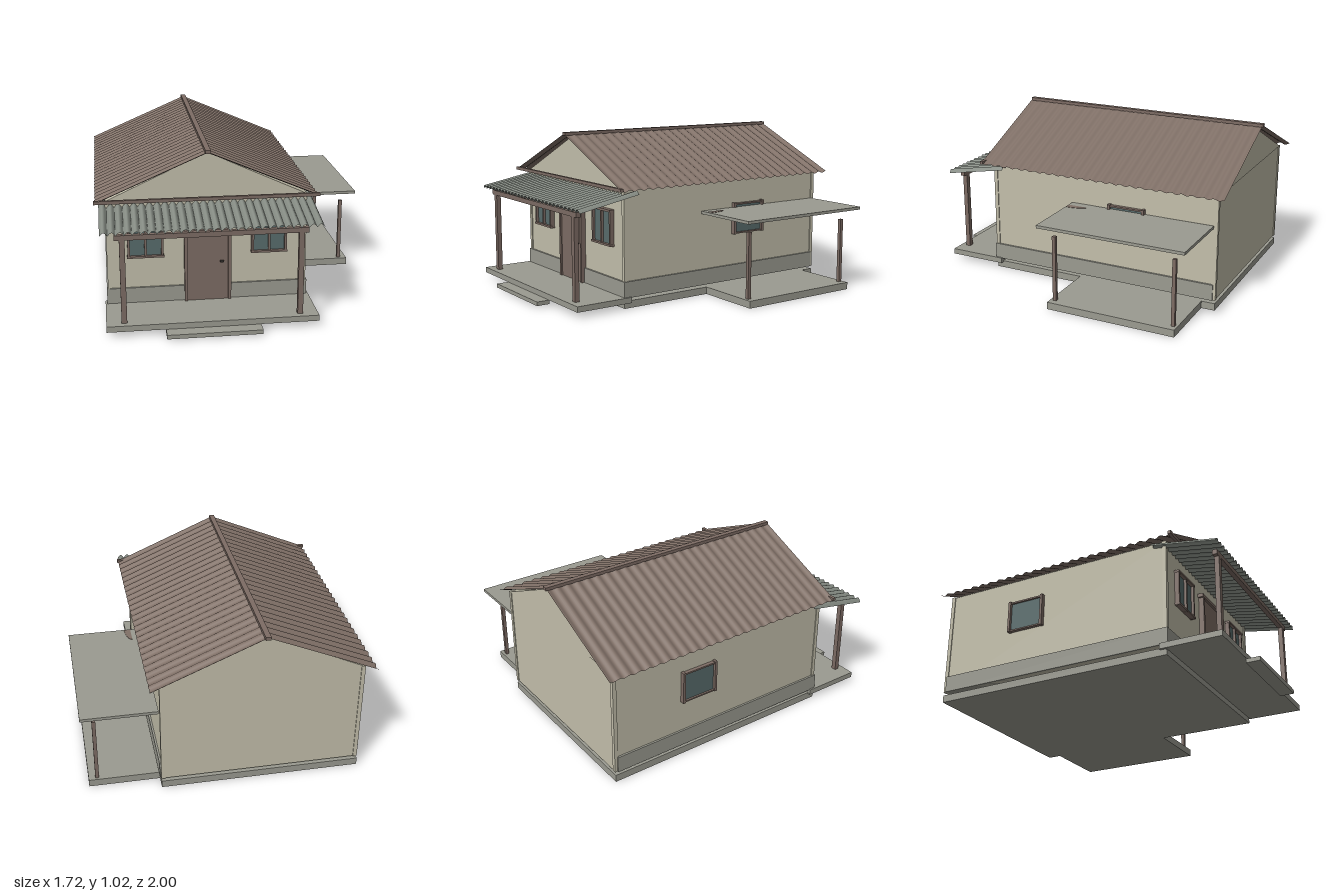
import * as THREE from 'three';

const material = (name, color, doubleSided = false) => {
  const m = new THREE.MeshStandardMaterial({ color });
  m.name = name;
  if (doubleSided) m.side = THREE.DoubleSide;
  return m;
};

export function createModel() {
  const house = new THREE.Group();
  house.name = 'house';
  const plaster = material('cream plaster', 0xc3bfab);
  const concrete = material('grey concrete', 0x9b9b91);
  const wood = material('brown wood', 0x7d6c64);
  const roofing = material('brown roofing', 0x807067, true);
  const tin = material('grey tin', 0x868c84, true);
  const glass = material('blue glass', 0x586c6c);
  const metal = material('dark metal', 0x3c3835);
  const cx = -0.195; // centre line of the house

  const add = (name, geometry, mat) => {
    const mesh = new THREE.Mesh(geometry, mat);
    mesh.name = name;
    house.add(mesh);
    return mesh;
  };
  // Box given by its limits on each axis
  const box = (name, mat, x0, x1, y0, y1, z0, z1) => {
    const g = new THREE.BoxGeometry(x1 - x0, y1 - y0, z1 - z0);
    g.translate((x0 + x1) / 2, (y0 + y1) / 2, (z0 + z1) / 2);
    return add(name, g, mat);
  };
  // Corrugated sheet: waves repeat along U, ridges run along V
  const sheet = (name, mat, origin, U, V, waves, height) => {
    const g = new THREE.PlaneGeometry(1, 1, waves * 8, 1);
    const o = new THREE.Vector3(...origin), u = new THREE.Vector3(...U), v = new THREE.Vector3(...V);
    const n = u.clone().cross(v).normalize();
    const p = g.attributes.position, q = new THREE.Vector3();
    for (let i = 0; i < p.count; i++) {
      const s = p.getX(i) + 0.5, t = p.getY(i) + 0.5;
      q.copy(o).addScaledVector(u, s).addScaledVector(v, t).addScaledVector(n, height(s * waves));
      p.setXYZ(i, q.x, q.y, q.z);
    }
    g.computeVertexNormals();
    return add(name, g, mat);
  };

  // Slabs and step
  box('houseSlab', concrete, -0.8, 0.405, 0, 0.045, -0.935, 0.585);
  box('carportSlab', concrete, 0.405, 0.83, 0, 0.045, -0.85, -0.03);
  box('porchSlab', concrete, -0.815, 0.425, 0.035, 0.07, 0.545, 0.92);
  box('step', concrete, -0.475, 0.08, 0.01, 0.035, 0.915, 1.0);

  // Walls, corner columns and plinth
  box('walls', plaster, -0.792, 0.402, 0.065, 0.72, -0.932, 0.58);
  for (const x of [-0.797, 0.383])
    for (const z of [-0.937, 0.563])
      box('cornerColumn', plaster, x, x + 0.024, 0.065, 0.72, z, z + 0.024);
  box('plinth', concrete, -0.804, 0.414, 0.065, 0.165, -0.92, 0.592);

  // Gable prism
  const tri = new THREE.Shape();
  tri.moveTo(-0.6, 0.715);
  tri.lineTo(0.6, 0.715);
  tri.lineTo(0, 0.99);
  tri.closePath();
  const gable = new THREE.ExtrudeGeometry(tri, { depth: 1.52, bevelEnabled: false });
  gable.translate(cx, 0, -0.935);
  add('gable', gable, plaster);

  // Main roof, ridge cap and front tie beam
  const ripple = (s) => 0.006 * Math.cos(s * Math.PI * 2);
  for (const side of [1, -1])
    sheet('roofSlope', roofing, [cx, 1.0, side > 0 ? -0.99 : 0.645],
      [0, 0, side * 1.635], [side * 0.66, -0.283, 0], 25, ripple);
  box('ridgeCap', wood, cx - 0.016, cx + 0.016, 0.996, 1.016, -0.997, 0.645);
  box('tieBeam', wood, -0.863, 0.472, 0.715, 0.735, 0.63, 0.65);

  // Porch roof, beam and posts
  sheet('porchRoof', tin, [-0.835, 0.612, 0.908], [1.28, 0, 0], [0, 0.075, -0.405], 28,
    (s) => 0.022 * Math.abs(Math.sin(s * Math.PI)));
  box('porchBeam', wood, -0.755, 0.36, 0.575, 0.605, 0.853, 0.882);
  for (const x of [-0.727, 0.302])
    box('porchPost', wood, x, x + 0.032, 0.07, 0.58, 0.853, 0.882);

  // Door
  box('door', wood, -0.32, -0.073, 0.07, 0.562, 0.58, 0.602);
  for (const x of [-0.337, -0.073])
    box('doorJamb', wood, x, x + 0.018, 0.07, 0.575, 0.58, 0.612);
  box('doorLintel', wood, -0.35, -0.045, 0.562, 0.585, 0.58, 0.614);
  box('doorHandle', metal, -0.122, -0.1, 0.312, 0.32, 0.6, 0.618);

  // Front windows
  for (const x of [cx - 0.3725, cx + 0.3725]) {
    box('frontGlass', glass, x - 0.095, x + 0.095, 0.368, 0.575, 0.58, 0.592);
    for (const d of [-0.1, 0, 0.1])
      box('windowBar', wood, x + d - 0.007, x + d + 0.007, 0.358, 0.58, 0.58, 0.608);
    box('windowSill', wood, x - 0.11, x + 0.11, 0.36, 0.372, 0.58, 0.612);
    box('windowHead', wood, x - 0.11, x + 0.11, 0.57, 0.584, 0.58, 0.612);
  }

  // Side windows
  for (const side of [1, -1]) {
    const sideBox = (name, mat, out, y0, y1, z0, z1) => {
      const a = cx + side * 0.595, b = cx + side * out;
      box(name, mat, Math.min(a, b), Math.max(a, b), y0, y1, z0, z1);
    };
    sideBox('sideGlass', glass, 0.608, 0.37, 0.557, -0.465, -0.242);
    for (const z of [-0.475, -0.248])
      sideBox('sideWindowPost', wood, 0.625, 0.365, 0.568, z, z + 0.016);
    sideBox('sideWindowHead', wood, 0.62, 0.553, 0.563, -0.465, -0.242);
    sideBox('sideWindowSill', wood, 0.62, 0.367, 0.376, -0.465, -0.242);
  }

  // Carport roof, its brown patch and posts
  box('carportRoof', concrete, 0.41, 0.86, 0.52, 0.538, -0.912, 0.017);
  const patch = new THREE.CylinderGeometry(1, 1, 0.022, 20, 1, false, Math.PI / 2, Math.PI / 2);
  patch.scale(0.04, 1, 0.12);
  patch.translate(0.463, 0.529, 0.01);
  add('carportRoofPatch', patch, roofing);
  for (const z of [-0.07, -0.835])
    box('carportPost', wood, 0.768, 0.79, 0.045, 0.455, z, z + 0.022);

  return house;
}
